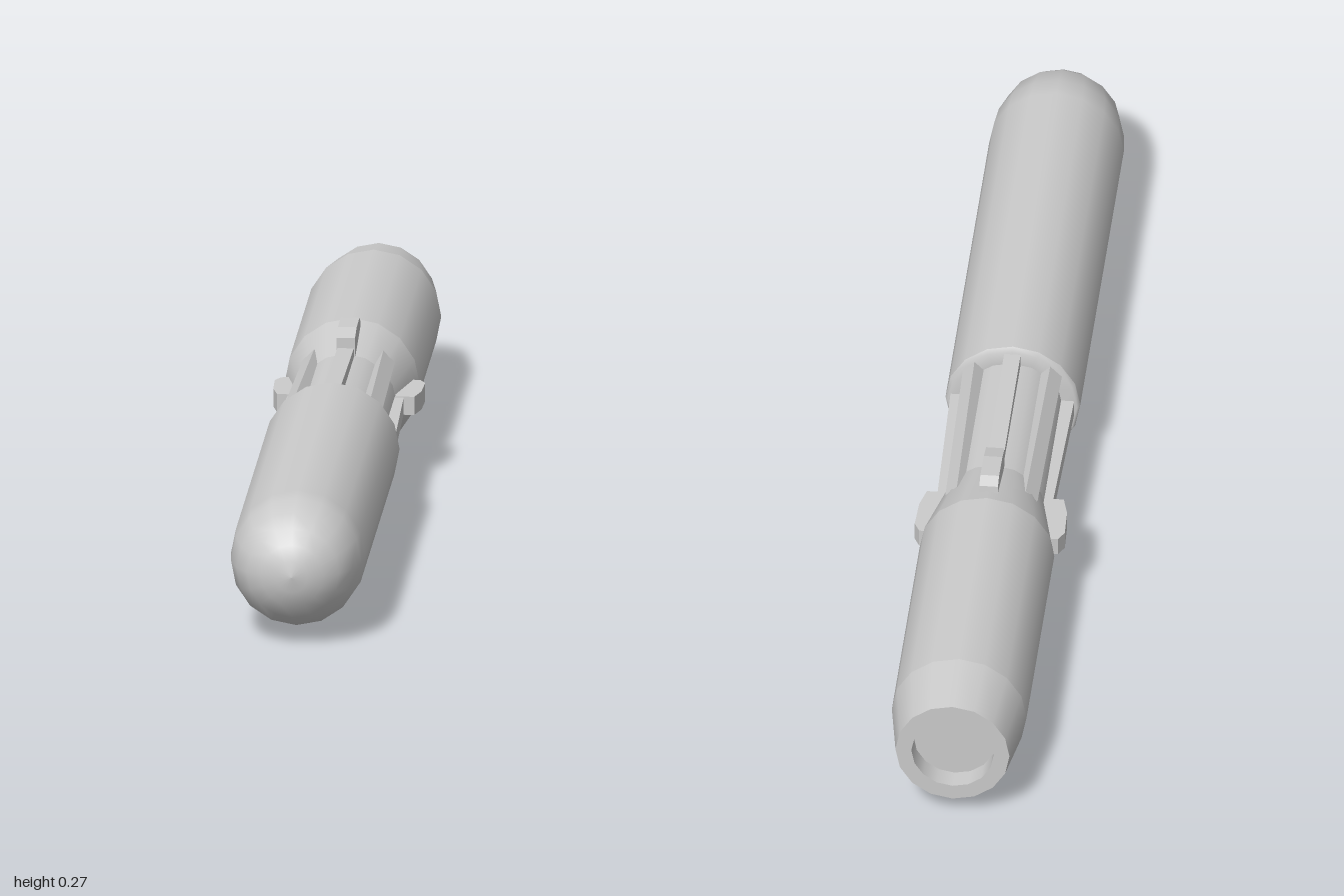
import * as THREE from 'three';

const AXIS_Y = 0.137;
const SIDES = 16;
const material = new THREE.MeshStandardMaterial({ color: 0xcccccc });

// Turned section along z; points are [radius, z] from back to front
function turned(name, points) {
  const geometry = new THREE.LatheGeometry(points.map(([r, z]) => new THREE.Vector2(r, z)), SIDES);
  geometry.rotateX(Math.PI / 2);
  const mesh = new THREE.Mesh(geometry, material);
  mesh.name = name;
  return mesh;
}

// Flat-sided bar lying on the axis plane; outline points are [z, height above axis]
function bar(name, outline, width, angle) {
  const shape = new THREE.Shape(outline.map(([z, h]) => new THREE.Vector2(z, h)));
  const geometry = new THREE.ExtrudeGeometry(shape, { depth: width, bevelEnabled: false });
  geometry.translate(0, 0, -width / 2);
  geometry.rotateY(-Math.PI / 2);
  const mesh = new THREE.Mesh(geometry, material);
  mesh.name = name;
  mesh.rotation.z = angle;
  return mesh;
}

export function createModel() {
  const model = new THREE.Group();
  const body = new THREE.Group();
  body.name = 'body';
  body.position.y = AXIS_Y;
  model.add(body);

  // Tail with recessed end
  body.add(turned('recessFloor', [[0, -0.96], [0.075, -0.96]]));
  body.add(turned('recessWall', [[0.075, -0.96], [0.075, -1]]));
  body.add(turned('tailRim', [[0.075, -1], [0.104, -1]]));
  body.add(turned('tailTaper', [[0.104, -1], [0.123, -0.88]]));
  body.add(turned('rearBarrel', [[0.123, -0.88], [0.123, -0.39]]));

  // Narrow waist between the two barrels
  body.add(turned('flare', [[0.123, -0.39], [0.092, -0.25]]));
  body.add(turned('neck', [[0.092, -0.25], [0.092, 0.06]]));
  body.add(turned('shoulder', [[0.092, 0.06], [0.118, 0.06], [0.123, 0.07]]));

  // Front barrel and rounded nose
  body.add(turned('frontBarrel', [
    [0.123, 0.07], [0.123, 0.84], [0.119, 0.885], [0.105, 0.935],
    [0.084, 0.965], [0.057, 0.985], [0.029, 0.996], [0, 1],
  ]));

  // Eight ribs around the waist, with a raised lug on every second one
  for (let i = 0; i < 8; i++) {
    const angle = (i * Math.PI) / 4;
    body.add(bar('rib', [[-0.31, 0.08], [0.065, 0.08], [0.065, 0.113], [-0.31, 0.104]], 0.03, angle));
    if (i % 2 === 0) {
      body.add(bar('lug', [
        [-0.365, 0.09], [-0.24, 0.09], [-0.24, 0.125],
        [-0.28, 0.135], [-0.34, 0.137], [-0.36, 0.127],
      ], 0.034, angle));
    }
  }
  return model;
}
